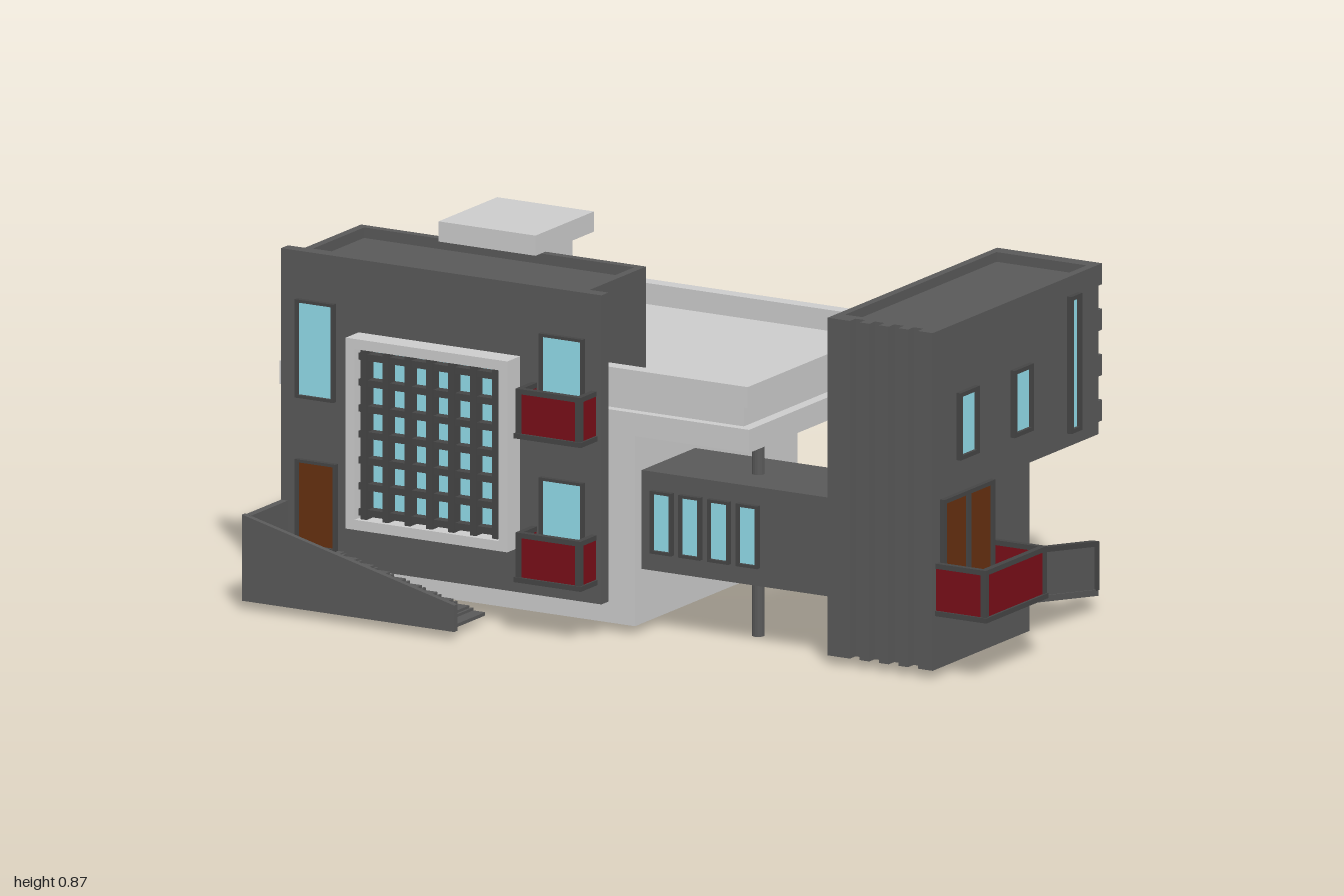
import * as THREE from 'three';

const mat = (color) => new THREE.MeshStandardMaterial({ color, flatShading: true });
const LIGHT = mat(0xcccccc), DARK = mat(0x595959), TRIM = mat(0x454545);
const GLASS = mat(0x92dcea), WOOD = mat(0x663010), RED = mat(0x780e18);

export function createModel() {
  const model = new THREE.Group();

  const group = (name, parent = model) => {
    const g = new THREE.Group();
    g.name = name;
    parent.add(g);
    return g;
  };

  // Box given by its two extreme corners
  const box = (name, m, x0, x1, y0, y1, z0, z1, parent = model) => {
    const mesh = new THREE.Mesh(new THREE.BoxGeometry(x1 - x0, y1 - y0, z1 - z0), m);
    mesh.position.set((x0 + x1) / 2, (y0 + y1) / 2, (z0 + z1) / 2);
    mesh.name = name;
    parent.add(mesh);
    return mesh;
  };

  // Four bars round a rectangular roof
  const parapet = (name, m, x0, x1, y0, y1, z0, z1, t) => {
    const g = group(name);
    box('parapetFront', m, x0, x1, y0, y1, z1 - t, z1, g);
    box('parapetBack', m, x0, x1, y0, y1, z0, z0 + t, g);
    box('parapetRight', m, x0, x0 + t, y0, y1, z0 + t, z1 - t, g);
    box('parapetLeft', m, x1 - t, x1, y0, y1, z0 + t, z1 - t, g);
  };

  // Group on a wall: local +z points out of the wall, u is the position along it
  const turn = { '+z': 0, '+x': Math.PI / 2, '-z': Math.PI, '-x': -Math.PI / 2 };
  const onWall = (name, side, plane, u) => {
    const g = group(name);
    g.rotation.y = turn[side];
    const p = side[0] === '-' ? -plane : plane;
    if (side[1] === 'z') g.position.set(u, 0, side[0] === '-' ? -p : p);
    else g.position.set(side[0] === '-' ? -p : p, 0, u);
    return g;
  };

  // Framed window or door
  const opening = (name, side, plane, u, w, y0, y1, m, f = 0.01) => {
    const g = onWall(name, side, plane, u), h = w / 2;
    box('pane', m, -h, h, y0, y1, -0.01, 0.004, g);
    for (const s of [-1, 1]) {
      const c = s * (h + f / 2);
      box('jamb', TRIM, c - f / 2, c + f / 2, y0 - f, y1 + f, -0.01, 0.012, g);
    }
    box('lintel', TRIM, -h, h, y1, y1 + f, -0.01, 0.012, g);
    box('sill', TRIM, -h, h, y0 - f, y0, -0.01, 0.012, g);
  };

  // Balcony with red panels in a dark frame
  const balcony = (name, side, plane, u, w, d, y0, y1) => {
    const g = onWall(name, side, plane, u), h = w / 2, t = 0.012;
    box('floor', TRIM, -h, h, y0, y0 + 0.012, 0, d, g);
    box('frontPanel', RED, -h + t, h - t, y0 + 0.012, y1 - t, d - 0.016, d - 0.006, g);
    box('frontRail', TRIM, -h + 0.004, h - 0.004, y1 - t, y1, d - 0.018, d - 0.003, g);
    for (const s of [-1, 1]) {
      const c = s * (h - 0.01);
      box('sidePanel', RED, c - 0.005, c + 0.005, y0 + 0.012, y1 - t, 0, d - 0.016, g);
      box('sideRail', TRIM, c - 0.007, c + 0.007, y1 - t, y1, 0, d - 0.016, g);
      box('post', TRIM, c - 0.007, c + 0.007, y0, y1, d - 0.018, d - 0.003, g);
    }
  };

  // Main hall on two sloped plinth steps at the back and right
  box('hall', LIGHT, -0.875, 0.06, 0.02, 0.48, -0.46, 0.27);
  const plinth = (x0, z0, y0, y1) => {
    const p = box('plinth', LIGHT, x0, 0.058, y0, y1, z0, 0.268).geometry.attributes.position;
    for (let i = 0; i < p.count; i++) {
      if (p.getY(i) < 0) continue;
      if (p.getX(i) < 0) p.setX(i, p.getX(i) + 0.012);
      if (p.getZ(i) < 0) p.setZ(i, p.getZ(i) + 0.012);
    }
  };
  plinth(-0.93, -0.53, 0.02, 0.068);
  plinth(-0.905, -0.5, 0.068, 0.118);

  // Overhanging banded roof
  box('roofBandLower', LIGHT, -0.888, 0.372, 0.475, 0.53, -0.478, 0.28);
  box('roofBandMiddle', LIGHT, -0.872, 0.345, 0.53, 0.58, -0.455, 0.258);
  parapet('roofParapet', LIGHT, -0.885, 0.366, 0.58, 0.63, -0.474, 0.276, 0.035);
  for (const x of [-0.08, -0.3, -0.515, -0.73])
    opening('backWindow', '-z', -0.46, x, 0.062, 0.16, 0.445, GLASS);
  opening('sideDoor', '+x', 0.06, -0.26, 0.11, 0.035, 0.25, WOOD);

  // Right-hand balcony with double door and wall box
  for (const z of [-0.155, -0.05])
    opening('balconyDoor', '-x', -0.875, z, 0.09, 0.17, 0.42, WOOD);
  balcony('rightBalcony', '-x', -0.875, -0.103, 0.31, 0.125, 0.16, 0.285);
  box('wallBox', DARK, -0.93, -0.87, 0.47, 0.53, -0.425, -0.32);

  // Roof hut
  box('hut', LIGHT, -0.525, -0.335, 0.575, 0.825, -0.11, 0.08);
  box('hutCap', LIGHT, -0.56, -0.3, 0.82, 0.868, -0.148, 0.115);
  opening('hutDoor', '-z', -0.11, -0.43, 0.09, 0.59, 0.78, WOOD);
  opening('hutWindow', '-x', -0.525, -0.015, 0.035, 0.68, 0.75, GLASS);

  // Front block and its facade slab
  box('frontBlock', DARK, -0.795, -0.03, 0.13, 0.795, 0.07, 0.325);
  parapet('frontBlockParapet', DARK, -0.795, -0.03, 0.795, 0.82, 0.07, 0.34, 0.02);
  box('facade', DARK, -0.84, 0.02, 0.085, 0.82, 0.323, 0.354);
  opening('facadeWindow', '+z', 0.354, -0.745, 0.09, 0.48, 0.7, GLASS, 0.007);
  opening('entranceDoor', '+z', 0.354, -0.742, 0.095, 0.125, 0.32, WOOD, 0.007);
  for (const y of [0.13, 0.472]) {
    opening('balconyWindow', '+z', 0.354, -0.083, 0.104, y + 0.015, y + 0.232, GLASS, 0.007);
    balcony('frontBalcony', '+z', 0.354, -0.08, 0.18, 0.076, y, y + 0.118);
  }

  // Large projecting grid window
  const grid = group('gridWindow');
  const gx0 = -0.632, gx1 = -0.198, gy0 = 0.193, gy1 = 0.647, gt = 0.024;
  box('glass', GLASS, gx0 + gt, gx1 - gt, gy0 + gt, gy1 - gt, 0.345, 0.37, grid);
  for (const [a, b] of [[gx0, gx0 + gt], [gx1 - gt, gx1]])
    box('frameSide', LIGHT, a, b, gy0, gy1, 0.354, 0.412, grid);
  for (const [a, b] of [[gy0, gy0 + gt], [gy1 - gt, gy1]])
    box('frameEdge', LIGHT, gx0 + gt, gx1 - gt, a, b, 0.354, 0.412, grid);
  for (let i = 0; i < 7; i++) {
    const x = -0.591 + i * 0.0587, y = 0.232 + i * 0.0617;
    box('verticalBar', TRIM, x - 0.008, x + 0.008, gy0 + gt, gy1 - gt, 0.37, 0.4, grid);
    box('horizontalBar', TRIM, gx0 + gt, gx1 - gt, y - 0.008, y + 0.008, 0.37, 0.395, grid);
  }

  // Entrance stairs with a sloping outer wall
  const stairs = group('entranceStairs');
  box('landing', DARK, -0.835, -0.67, 0.02, 0.12, 0.354, 0.52, stairs);
  box('endWall', DARK, -0.84, -0.822, 0.02, 0.222, 0.33, 0.52, stairs);
  for (let i = 0; i < 9; i++) {
    const x = -0.67 + i * 0.0425, y = 0.11 - i * 0.0105;
    box('tread', DARK, x, x + 0.038, y - 0.008, y, 0.354, 0.52, stairs);
    box('riser', DARK, x, x + 0.006, y - 0.008, y + 0.0065, 0.354, 0.52, stairs);
  }
  const wallShape = new THREE.Shape([[-0.84, 0.02], [-0.27, 0.02], [-0.27, 0.083], [-0.84, 0.225]]
    .map(([x, y]) => new THREE.Vector2(x, y)));
  const wall = new THREE.Mesh(new THREE.ExtrudeGeometry(wallShape, { depth: 0.014, bevelEnabled: false }), DARK);
  wall.position.z = 0.516;
  wall.name = 'slopingWall';
  stairs.add(wall);

  // Bridge and its column
  box('bridge', DARK, 0.055, 0.59, 0.15, 0.385, 0, 0.24);
  for (let i = 0; i < 4; i++) {
    const x = 0.117 + i * 0.077;
    opening('bridgeFrontWindow', '+z', 0.24, x, 0.044, 0.2, 0.335, GLASS, 0.007);
    opening('bridgeBackWindow', '-z', 0, x, 0.044, 0.2, 0.335, GLASS, 0.007);
  }
  const column = new THREE.Mesh(new THREE.CylinderGeometry(0.015, 0.015, 0.478, 16), DARK);
  column.position.set(0.307, 0.239, 0.13);
  column.name = 'column';
  model.add(column);

  // Tower, open at its lower back corner
  box('towerUpper', DARK, 0.58, 0.862, 0.42, 0.8, -0.47, 0.25);
  parapet('towerParapet', DARK, 0.58, 0.862, 0.8, 0.823, -0.47, 0.25, 0.02);
  box('towerLower', DARK, 0.58, 0.862, 0.02, 0.42, -0.16, 0.25);
  box('towerSideWall', DARK, 0.58, 0.6, 0.02, 0.42, -0.47, -0.16);
  // Vertical ribs on the front, horizontal ribs on the back
  for (const [a, b] of [[0.58, 0.64], [0.666, 0.692], [0.718, 0.744], [0.77, 0.796], [0.822, 0.862]])
    box('frontRib', DARK, a, b, 0.02, 0.823, 0.25, 0.275);
  for (let i = 0; i < 4; i++) {
    const y = 0.823 - i * 0.108;
    box('backRib', DARK, 0.58, 0.862, y - 0.05, y, -0.486, -0.47);
  }

  // Tower openings and balcony
  for (const z of [0.126, -0.118]) opening('towerWindow', '+x', 0.862, z, 0.066, 0.508, 0.648, GLASS);
  opening('slitWindow', '+x', 0.862, -0.353, 0.028, 0.462, 0.768, GLASS);
  for (const z of [0.182, 0.072]) opening('towerDoor', '+x', 0.862, z, 0.098, 0.16, 0.41, WOOD);
  balcony('towerBalcony', '+x', 0.862, 0.125, 0.28, 0.138, 0.148, 0.272);
  opening('towerBackDoor', '-z', -0.16, 0.72, 0.1, 0.11, 0.32, WOOD);

  // Ramp and railing, sheared to fall towards the back
  const ramp = group('ramp');
  const sloped = (name, m, x0, x1, y0, y1) => {
    const p = box(name, m, x0, x1, y0, y1, -0.47, -0.16, ramp).geometry.attributes.position;
    for (let i = 0; i < p.count; i++) p.setY(i, p.getY(i) + (p.getZ(i) - 0.155) * 0.16);
  };
  sloped('rampFloor', DARK, 0.6, 0.862, 0.085, 0.1);
  sloped('railPanel', DARK, 0.85, 0.858, 0.1, 0.205);
  sloped('topRail', TRIM, 0.846, 0.864, 0.203, 0.215);
  for (const [z, y] of [[-0.464, 0.05], [-0.17, 0.095]])
    box('railPost', TRIM, 0.846, 0.864, y, y + 0.115, z - 0.006, z + 0.006, ramp);

  return model;
}
